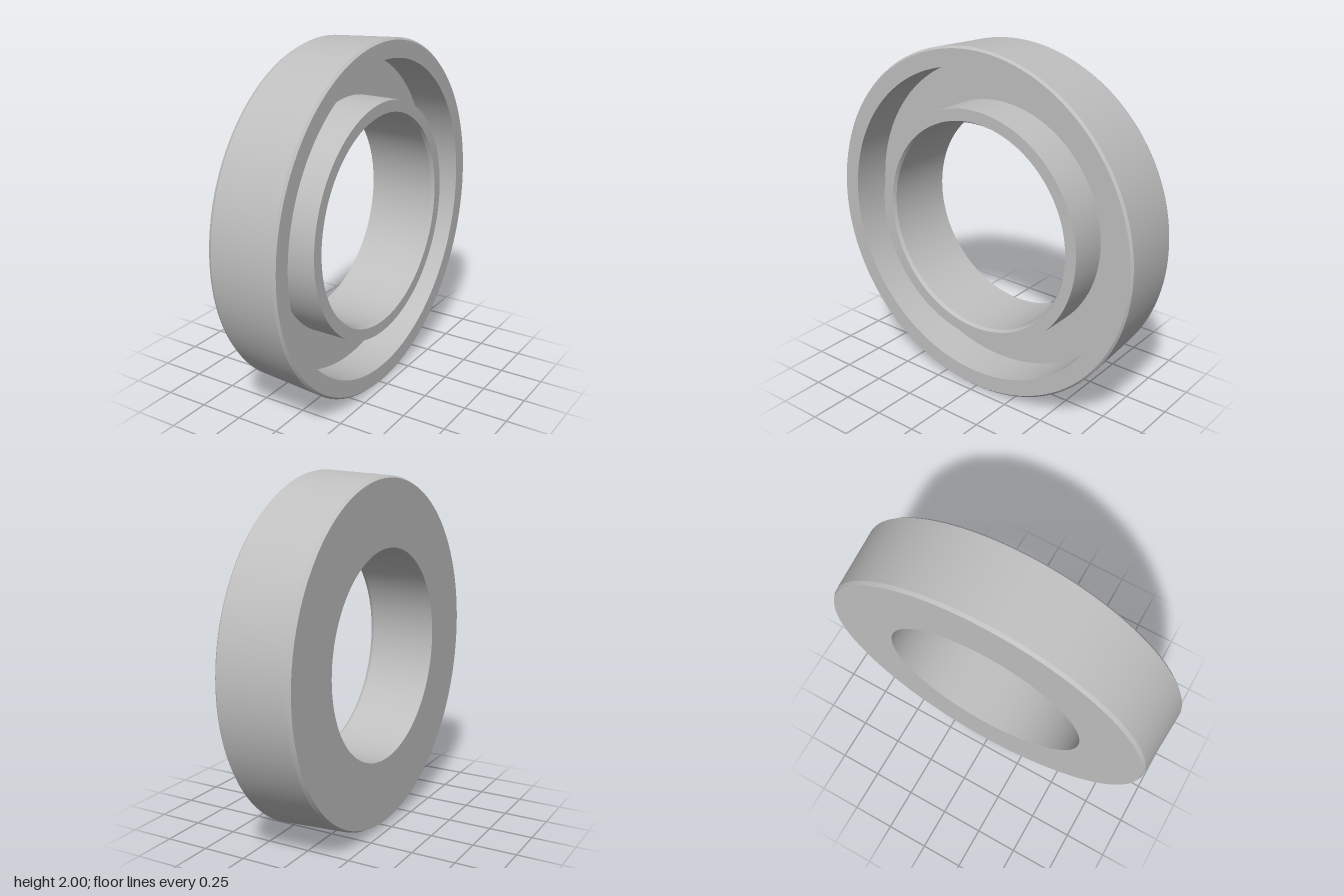
import * as THREE from 'three';
import { mergeGeometries } from 'three/addons/utils/BufferGeometryUtils.js';

// Revolve each profile segment separately so edges stay crisp while the round surfaces are smooth.
function revolve(profile, segments = 128) {
  const pts = profile.map(([r, x]) => new THREE.Vector2(r, x));
  const bands = [];
  for (let i = 0; i < pts.length - 1; i++) {
    bands.push(new THREE.LatheGeometry([pts[i], pts[i + 1]], segments));
  }
  return mergeGeometries(bands).rotateZ(-Math.PI / 2); // axis along x
}

export function createModel() {
  const grey = new THREE.MeshStandardMaterial({ color: 0xbfbfbf });
  grey.name = 'grey';

  // Cross-section as [radius, position along axis]
  const half = 0.21;
  const floor = -0.02;
  const parts = {
    // tapered outer wall with chamfers, and its lip
    outerLip: [[0.967, -half], [0.978, -0.19], [1, 0.197], [0.988, half], [0.893, half], [0.893, floor]],
    // bottom of the annular groove
    grooveFloor: [[0.893, floor], [0.672, floor]],
    // inner lip with chamfered bore
    innerLip: [[0.672, floor], [0.672, half], [0.606, half], [0.595, 0.19], [0.595, -half]],
    // flat closed side
    backFace: [[0.595, -half], [0.967, -half]],
  };

  const ring = new THREE.Group();
  ring.name = 'sealRing';
  for (const [name, profile] of Object.entries(parts)) {
    const mesh = new THREE.Mesh(revolve(profile), grey);
    mesh.name = name;
    ring.add(mesh);
  }
  ring.position.y = 1;

  const model = new THREE.Group();
  model.name = 'model';
  model.add(ring);
  return model;
}
